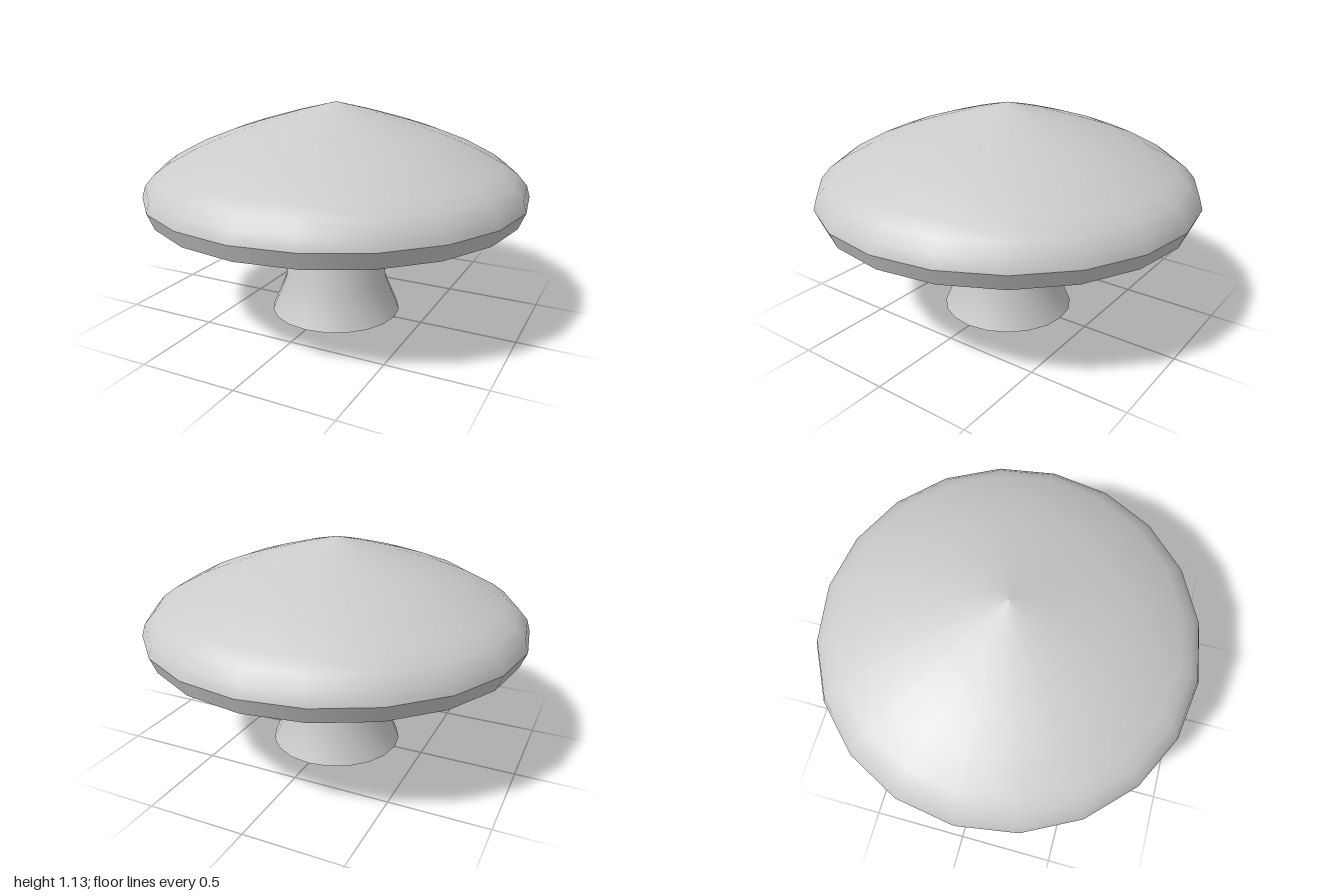
import * as THREE from 'three';

const SIDES = 20;

export function createModel() {
  const model = new THREE.Group();
  const material = new THREE.MeshStandardMaterial({ color: 0xcccccc, side: THREE.DoubleSide });

  // Revolves a profile of [radius, height] pairs; separate profiles keep the seams sharp
  const turned = (name, parent, profile) => {
    const points = profile.map(([r, y]) => new THREE.Vector2(r, y));
    const mesh = new THREE.Mesh(new THREE.LatheGeometry(points, SIDES), material);
    mesh.name = name;
    parent.add(mesh);
  };

  // Stem: flared foot, narrow neck, widening again where it meets the gills
  const stem = new THREE.Group();
  stem.name = 'stem';
  turned('stemBase', stem, [[0, 0], [0.35, 0]]);
  turned('stemSide', stem, [[0.35, 0], [0.275, 0.18], [0.222, 0.59], [0.275, 0.88]]);

  // Cap: domed top, tucked-in rim, thin inner lip and hollow conical gills
  const cap = new THREE.Group();
  cap.name = 'cap';
  turned('gills', cap, [[0.275, 0.88], [0.95, 0.62]]);
  turned('innerLip', cap, [[0.95, 0.62], [0.965, 0.585]]);
  turned('rim', cap, [[0.965, 0.585], [1, 0.668]]);
  turned('capTop', cap, [
    [1, 0.668], [0.983, 0.727], [0.935, 0.783], [0.87, 0.83], [0.71, 0.915],
    [0.55, 0.978], [0.4, 1.027], [0.2, 1.085], [0, 1.135],
  ]);

  model.add(stem, cap);
  return model;
}
